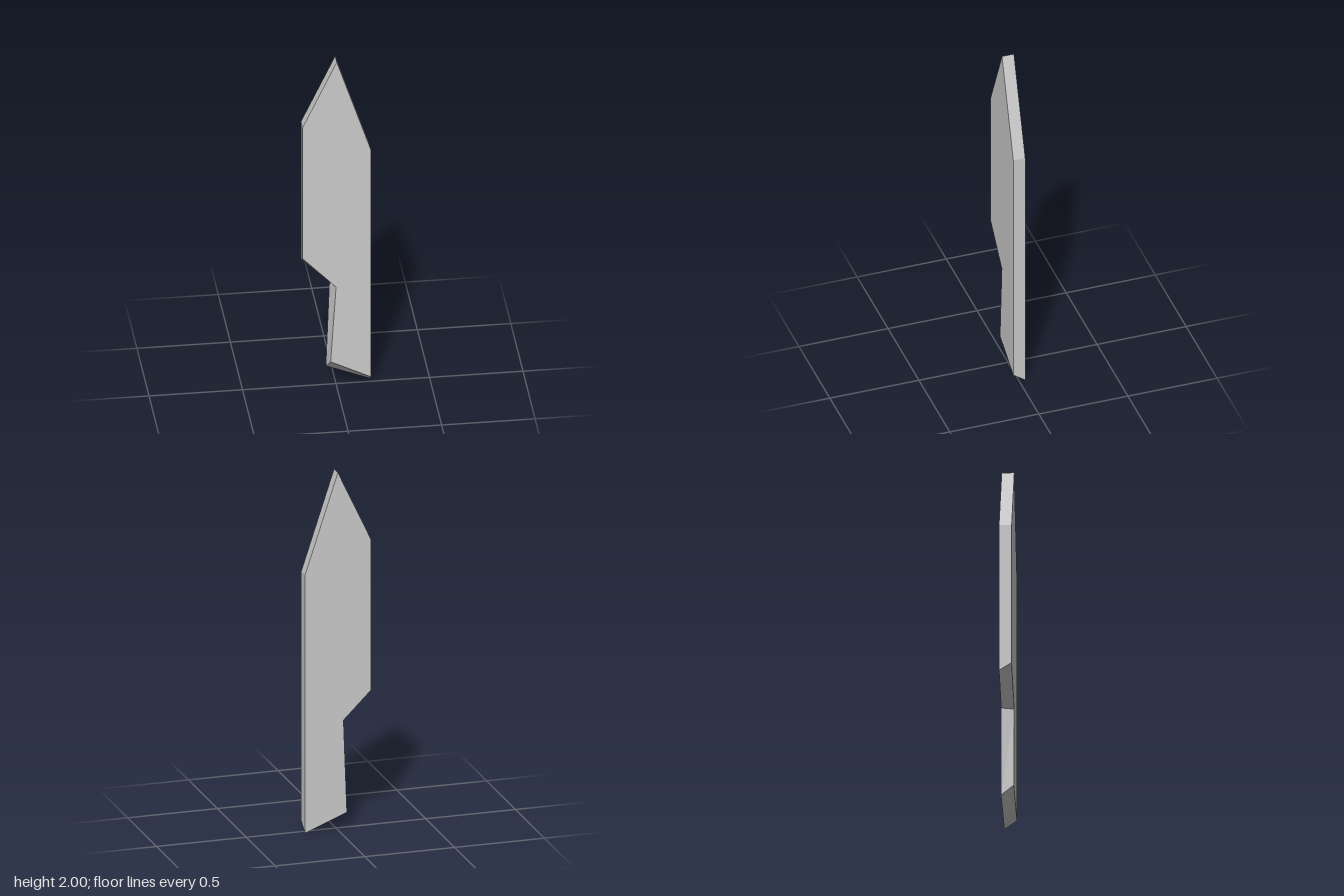
import * as THREE from 'three';

const HALF_DEPTH = 0.0335;

// Corners run counter-clockwise seen from the front: [front x, front y, back x, back y]
const corners = [
  [0.183, 0.047, 0.183, 0],         // foot, outer corner
  [0.183, 1.445, 0.183, 1.445],     // right shoulder
  [0, 2, 0, 2],                     // tip
  [-0.183, 1.61, -0.183, 1.61],     // left shoulder
  [-0.183, 0.803, -0.183, 0.762],   // bevelled lower edge of the blade
  [-0.004, 0.614, -0.031, 0.611],   // notch
  [-0.033, 0.156, -0.05, 0.093],    // foot, inner corner
];

// Joins the front and back outlines into a closed slab with bevelled lower edges
function slabGeometry() {
  const front = corners.map(([x, y]) => new THREE.Vector3(x, y, HALF_DEPTH));
  const back = corners.map(([, , x, y]) => new THREE.Vector3(x, y, -HALF_DEPTH));
  const points = [];
  const outline = (list) => list.map((p) => new THREE.Vector2(p.x, p.y));

  // Front and back faces
  for (const [a, b, c] of THREE.ShapeUtils.triangulateShape(outline(front), [])) {
    points.push(front[a], front[b], front[c]);
  }
  for (const [a, b, c] of THREE.ShapeUtils.triangulateShape(outline(back), [])) {
    points.push(back[a], back[c], back[b]);
  }
  // Rim
  for (let i = 0; i < corners.length; i++) {
    const j = (i + 1) % corners.length;
    points.push(front[i], back[i], back[j], front[i], back[j], front[j]);
  }

  const geometry = new THREE.BufferGeometry().setFromPoints(points);
  geometry.computeVertexNormals();
  return geometry;
}

export function createModel() {
  const group = new THREE.Group();
  group.name = 'blade';

  const material = new THREE.MeshStandardMaterial({ color: 0xcccccc, flatShading: true });
  const blade = new THREE.Mesh(slabGeometry(), material);
  blade.name = 'bladeSlab';
  group.add(blade);

  return group;
}
